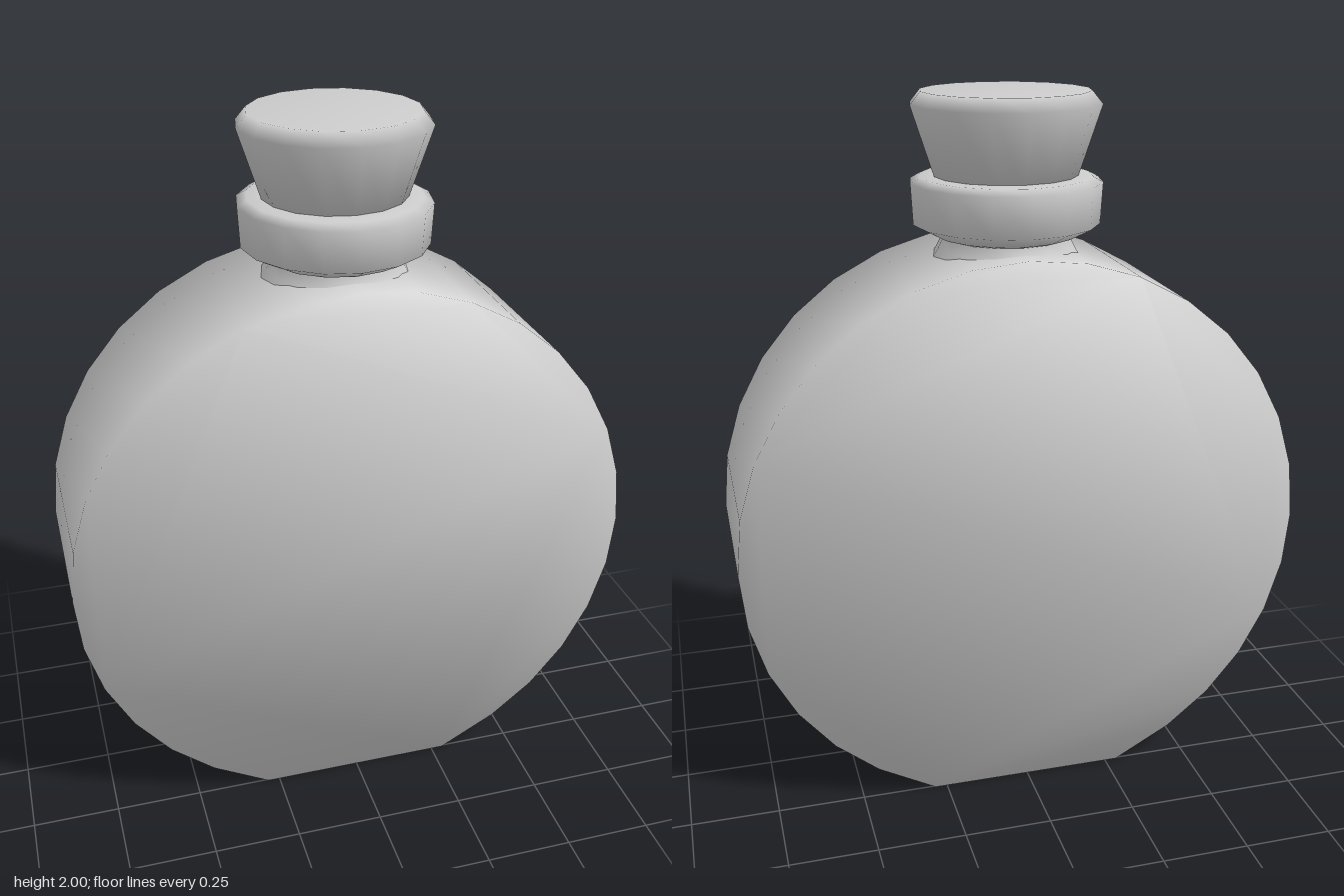
import * as THREE from 'three';

const material = new THREE.MeshStandardMaterial({ color: 0xcccccc, side: THREE.DoubleSide });
const RADIUS = 0.815, CENTRE_Y = 0.77, HALF_DEPTH = 0.255;

// Round flask body: a 32-sided disc cut flat at the base
function bodyGeometry() {
  const outline = [new THREE.Vector2(0.285, 0)];
  for (let i = -5; i <= 21; i++) {
    const a = (i * Math.PI) / 16;
    outline.push(new THREE.Vector2(RADIUS * Math.cos(a), CENTRE_Y + RADIUS * Math.sin(a)));
  }
  outline.push(new THREE.Vector2(-0.285, 0));

  const geometry = new THREE.ExtrudeGeometry(new THREE.Shape(outline), {
    depth: 2 * HALF_DEPTH, bevelEnabled: false, steps: 1,
  });
  geometry.translate(0, 0, -HALF_DEPTH);

  // Soft normals shared by the faces and the rim
  const { position, normal } = geometry.attributes;
  const n = new THREE.Vector3();
  for (let i = 0; i < position.count; i++) {
    n.set(position.getX(i), position.getY(i) - CENTRE_Y, Math.sign(position.getZ(i)) * RADIUS).normalize();
    normal.setXYZ(i, n.x, n.y, n.z);
  }
  return geometry;
}

// Sixteen-sided turned part from [radius, height] pairs, bottom to top
function turned(name, profile, depthScale = 1) {
  const geometry = new THREE.LatheGeometry(profile.map(([r, y]) => new THREE.Vector2(r, y)), 16);
  geometry.scale(1, 1, depthScale);
  const mesh = new THREE.Mesh(geometry, material);
  mesh.name = name;
  return mesh;
}

export function createModel() {
  const model = new THREE.Group();
  model.name = 'flask';

  const body = new THREE.Mesh(bodyGeometry(), material);
  body.name = 'body';
  model.add(body);

  // Neck narrowing below the lip
  model.add(turned('neck', [[0.21, 1.55], [0.195, 1.575], [0.178, 1.61], [0.185, 1.63]]));

  // Thick collar around the mouth
  model.add(turned('collar', [
    [0.178, 1.605], [0.2, 1.612], [0.262, 1.645], [0.268, 1.758], [0.24, 1.773], [0.19, 1.775],
  ], 1.04));

  // Tapered stopper with a bevelled top
  model.add(turned('stopper', [[0, 1.76], [0.2, 1.77], [0.264, 1.965], [0.235, 2], [0, 2]]));

  return model;
}
